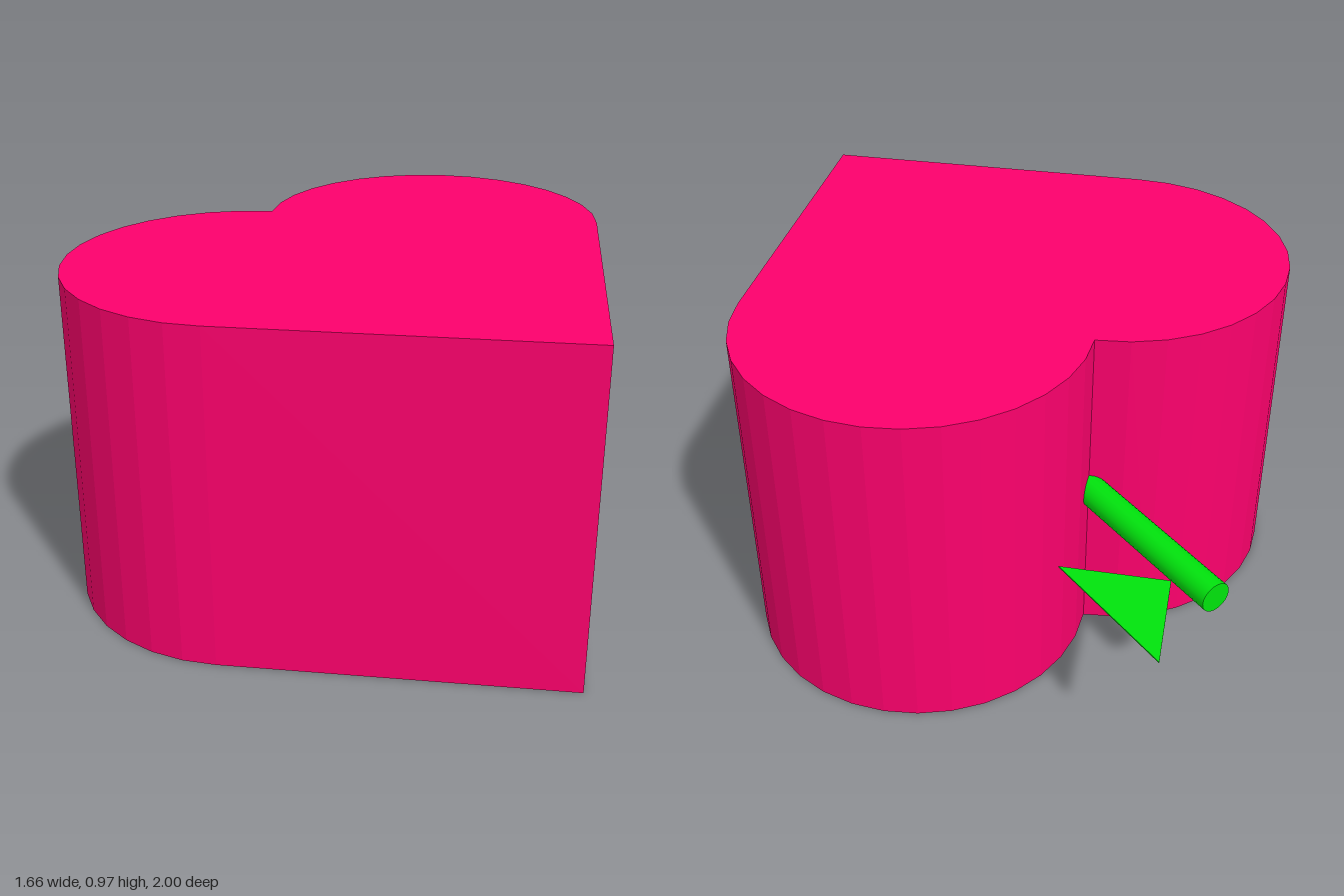
import * as THREE from 'three';

export function createModel() {
  const group = new THREE.Group();
  const pink = new THREE.MeshStandardMaterial({ color: 0xfc006c, flatShading: true });
  const green = new THREE.MeshStandardMaterial({ color: 0x00e40c });

  const add = (name, geometry, material) => {
    const mesh = new THREE.Mesh(geometry, material);
    mesh.name = name;
    group.add(mesh);
    return mesh;
  };

  // Heart: a square standing on its corner with a half circle on each upper side
  const r = 0.485, height = 0.97, tip = -1;
  const c = r / Math.SQRT2, lobeY = tip + 3 * c;
  const heart = new THREE.Shape();
  heart.moveTo(0, tip);
  heart.lineTo(2 * c, tip + 2 * c);
  heart.absarc(c, lobeY, r, -Math.PI / 4, Math.PI * 0.75, false);
  heart.absarc(-c, lobeY, r, Math.PI / 4, Math.PI * 1.25, false);
  heart.lineTo(0, tip);
  const body = new THREE.ExtrudeGeometry(heart, { depth: height, bevelEnabled: false, curveSegments: 8 });
  body.rotateX(-Math.PI / 2);
  add('heartBody', body, pink);

  // Stem: a rod pointing backwards out of the notch
  const stemStart = -0.3, stemEnd = -0.91;
  const stem = new THREE.CylinderGeometry(0.043, 0.043, stemStart - stemEnd, 20);
  stem.rotateX(Math.PI / 2);
  add('stem', stem, green).position.set(0, height / 2, (stemStart + stemEnd) / 2);

  // Leaf: a very thin triangle beside the stem end
  const leaf = new THREE.Shape([
    new THREE.Vector2(0.048, 0.793),
    new THREE.Vector2(0.255, 0.586),
    new THREE.Vector2(0.255, 1),
  ]);
  const leafGeometry = new THREE.ExtrudeGeometry(leaf, { depth: 0.004, bevelEnabled: false });
  leafGeometry.rotateX(-Math.PI / 2);
  add('leaf', leafGeometry, green).position.y = 0.474;

  return group;
}
